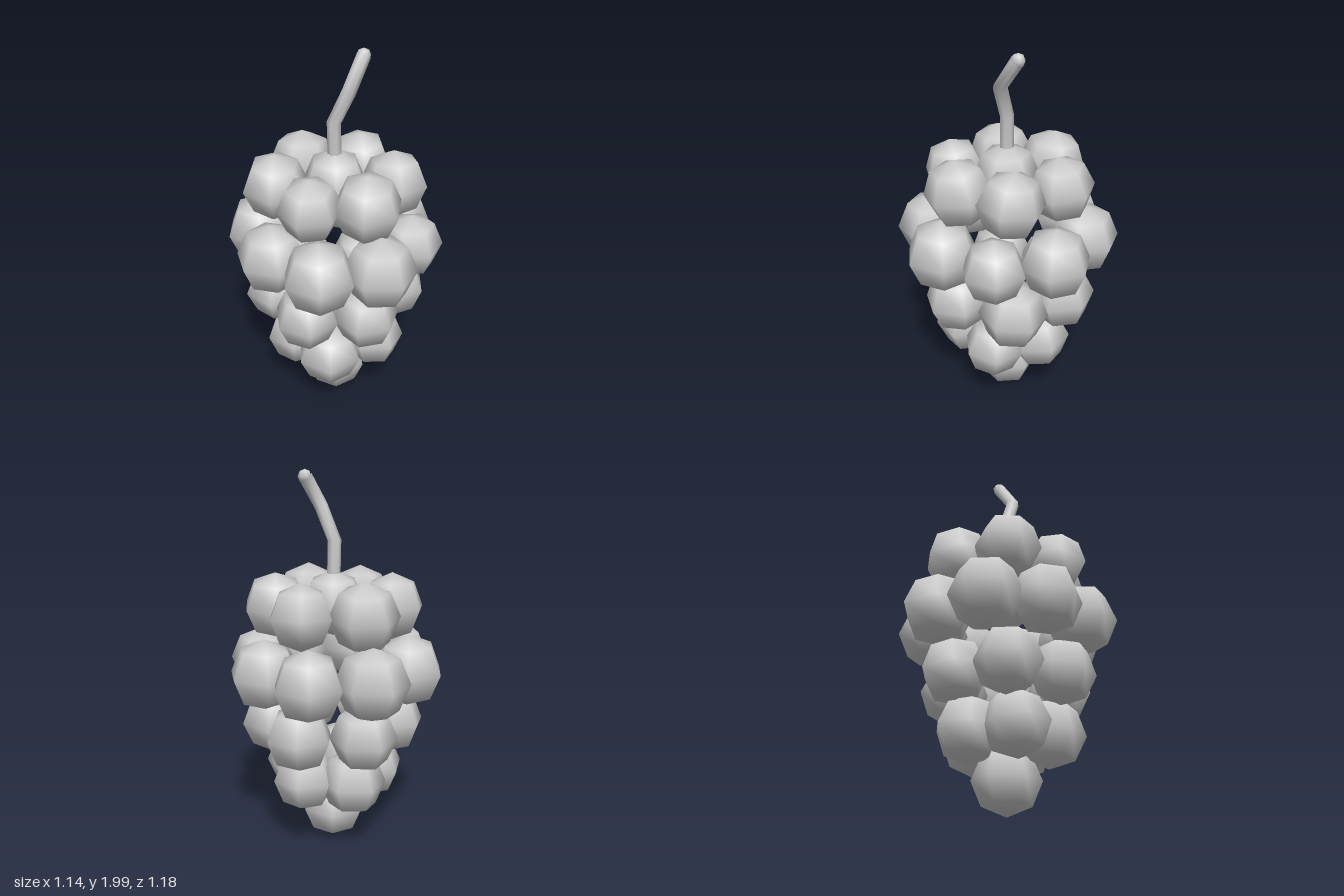
import * as THREE from 'three';

// Each berry row: height, then [x, z, radius, yaw in degrees, tilt in radians] per berry
const ROWS = [
  { name: 'crownBerry', y: 1.325, berries: [[-0.01, 0, 0.172, 0, 0]] },
  { name: 'shoulderBerry', y: 1.31, berries: [
    [-0.27, -0.15, 0.175, 8, 0.08], [-0.02, -0.30, 0.18, 22, -0.1], [0.25, -0.15, 0.17, -5, 0.08],
    [0.245, 0.155, 0.175, -7, -0.08], [-0.01, 0.29, 0.178, 12, 0.12], [-0.255, 0.155, 0.165, 23, 0.12]] },
  { name: 'wideBerry', y: 1.0, berries: [
    [-0.01, -0.40, 0.19, 30, 0], [0.28, -0.285, 0.185, -5, 0], [0.39, -0.01, 0.185, -13, 0],
    [0.275, 0.28, 0.168, 30, 0], [-0.005, 0.40, 0.19, 30, 0], [-0.285, 0.28, 0.19, 0, 0],
    [-0.39, 0, 0.185, -13, 0], [-0.29, -0.285, 0.19, 3, 0]] },
  { name: 'middleBerry', y: 0.685, berries: [
    [-0.28, -0.155, 0.175, 12, 0.06], [-0.02, -0.305, 0.175, 30, -0.08], [0.27, -0.155, 0.178, 0, 0.06],
    [0.265, 0.155, 0.18, 5, -0.06], [-0.02, 0.31, 0.175, 20, 0.08], [-0.285, 0.155, 0.172, -5, 0.06]] },
  { name: 'lowerBerry', y: 0.405, berries: [
    [0.195, -0.065, 0.17, 10, 0.08], [0.125, 0.18, 0.165, 30, -0.08], [-0.155, 0.165, 0.178, 0, 0.06],
    [-0.21, -0.07, 0.172, 10, -0.06], [-0.01, -0.215, 0.175, 25, 0.06]] },
  { name: 'tipBerry', y: 0.182, berries: [[-0.01, 0, 0.176, 0, 0]] },
];

export function createModel() {
  const group = new THREE.Group();
  const material = new THREE.MeshStandardMaterial({ color: 0xcccccc });

  // Berries: one coarse smooth-shaded ball, scaled and turned
  const ball = new THREE.SphereGeometry(1, 6, 4);
  for (const { name, y, berries } of ROWS) {
    const row = new THREE.Group();
    row.name = name + 'Row';
    for (const [x, z, r, yaw, tilt] of berries) {
      const berry = new THREE.Mesh(ball, material);
      berry.name = name;
      berry.position.set(x, y, z);
      berry.scale.setScalar(r);
      berry.rotation.set(tilt, -THREE.MathUtils.degToRad(yaw), tilt * 0.6);
      row.add(berry);
    }
    group.add(row);
  }

  // Crooked stem
  const path = new THREE.CatmullRomCurve3([
    new THREE.Vector3(-0.01, 1.46, 0),
    new THREE.Vector3(-0.01, 1.67, 0),
    new THREE.Vector3(0.04, 1.84, 0.07),
    new THREE.Vector3(0.13, 1.965, 0.035),
  ]);
  const stem = new THREE.Mesh(new THREE.TubeGeometry(path, 3, 0.036, 7), material);
  stem.name = 'stem';
  group.add(stem);

  // Blunt rounded end of the stem
  const stemTip = new THREE.Mesh(new THREE.SphereGeometry(0.036, 7, 4), material);
  stemTip.name = 'stemTip';
  stemTip.position.set(0.13, 1.965, 0.035);
  group.add(stemTip);

  return group;
}
